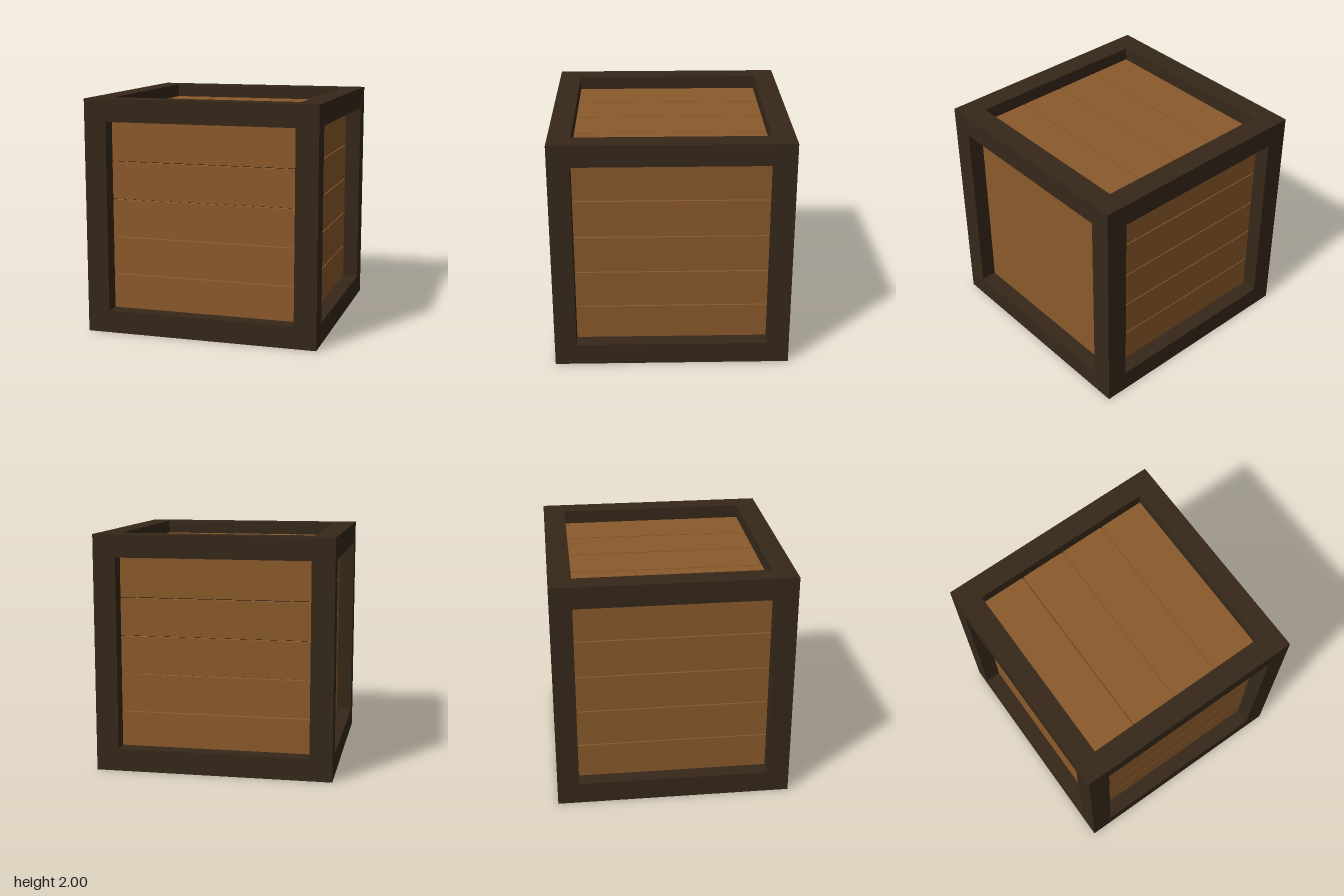
import * as THREE from 'three';

export function createModel() {
  const crate = new THREE.Group();
  crate.name = 'crate';

  const frameMat = new THREE.MeshStandardMaterial({ color: 0x36281a });
  const plankMat = new THREE.MeshStandardMaterial({ color: 0x8b5a2b });
  const gapMat = new THREE.MeshStandardMaterial({ color: 0x0c0805 });

  function box(name, mat, size, pos) {
    const mesh = new THREE.Mesh(new THREE.BoxGeometry(...size), mat);
    mesh.position.set(...pos);
    mesh.name = name;
    crate.add(mesh);
  }

  // Frame: four posts, with rails fitted between them
  const BX = 0.19;   // beam width seen from the front and top
  const BZ = 0.185;  // beam width seen from the sides
  for (const a of [-1, 1]) {
    for (const b of [-1, 1]) {
      box('cornerPost', frameMat, [BX, 2, BZ], [a * (1 - BX / 2), 1, b * (1 - BZ / 2)]);
      box('crossRail', frameMat, [2 - 2 * BX, BX, BX], [0, 1 + a * (1 - BX / 2), b * (1 - BX / 2)]);
      box('sideRail', frameMat, [BX, BZ, 2 - 2 * BZ], [a * (1 - BX / 2), 1 + b * (1 - BZ / 2), 0]);
    }
  }

  // Recessed planks, their outer edges tucked into the frame
  const T = 0.04, GAP = 0.009, EDGE = 0.84;
  const wallAt = 0.865 - T / 2;
  const lidAt = 0.885 - T / 2;
  const wallCuts = [1 - EDGE, 0.488, 0.813, 1.138, 1.463, 1 + EDGE];
  const lidCuts = [-EDGE, -0.412, -0.008, 0.397, EDGE];

  function eachPlank(cuts, make) {
    for (let i = 0; i < cuts.length - 1; i++) {
      make((cuts[i] + cuts[i + 1]) / 2, cuts[i + 1] - cuts[i] - GAP);
    }
  }

  for (const s of [-1, 1]) {
    eachPlank(wallCuts, (y, h) => {
      box(s > 0 ? 'frontPlank' : 'backPlank', plankMat, [2 * EDGE, h, T], [0, y, s * wallAt]);
      box(s > 0 ? 'leftPlank' : 'rightPlank', plankMat, [T, h, 2 * EDGE], [s * wallAt, y, 0]);
    });
    eachPlank(lidCuts, (x, w) => {
      box(s > 0 ? 'topPlank' : 'bottomPlank', plankMat, [w, T, 2 * EDGE], [x, 1 + s * lidAt, 0]);
    });
  }

  // Dark core showing through the gaps
  const side = 2 * (wallAt - T / 2);
  box('darkCore', gapMat, [side, 2 * (lidAt - T / 2), side], [0, 1, 0]);

  return crate;
}
